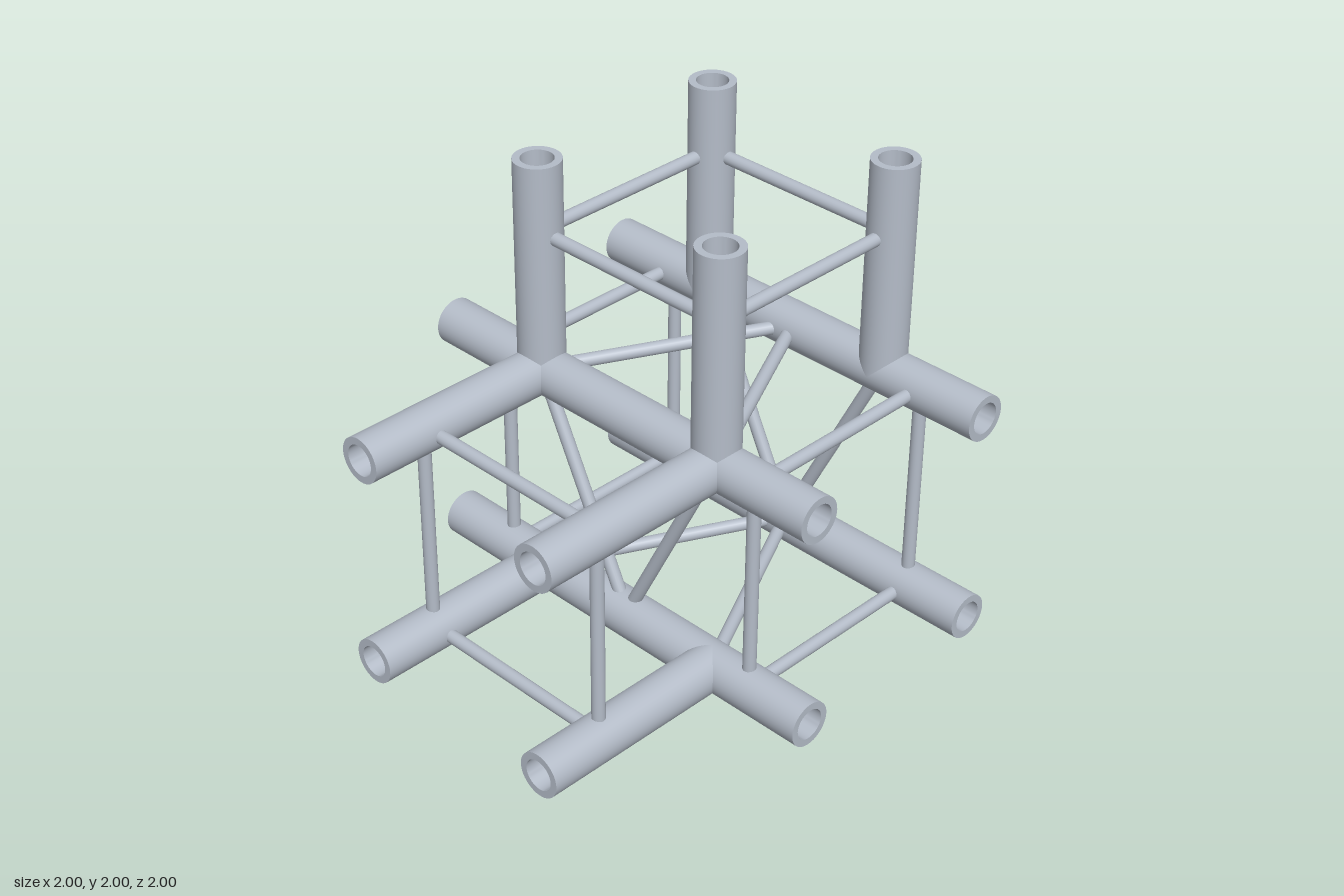
import * as THREE from 'three';
import { toCreasedNormals } from 'three/addons/utils/BufferGeometryUtils.js';

const R = 0.098, BORE = 0.067, BRACE = 0.028;  // pipe, bore and brace radii
const X = 0.48, XB = 0.68;                     // pipe axes and outer braces in x
const LOW = 0.098, HIGH = 1.063;               // pipe axes in y
const FRONT = 0.059, BACK = -0.902;            // pipe axes in z
const UP = new THREE.Vector3(0, 1, 0);

export function createModel() {
  const model = new THREE.Group();
  model.name = 'trussCorner';
  const aluminium = new THREE.MeshStandardMaterial({ color: 0xb4bcc8 });
  aluminium.name = 'aluminium';

  // Places a y-aligned, centred geometry between two points
  function place(name, geometry, a, b) {
    const mesh = new THREE.Mesh(geometry, aluminium);
    mesh.name = name;
    mesh.position.copy(a).add(b).multiplyScalar(0.5);
    mesh.quaternion.setFromUnitVectors(UP, b.clone().sub(a).normalize());
    model.add(mesh);
  }

  // Hollow pipe with ring-shaped ends
  function pipe(name, from, to) {
    const a = new THREE.Vector3(...from), b = new THREE.Vector3(...to);
    const h = a.distanceTo(b) / 2;
    const profile = [[BORE, -h], [R, -h], [R, h], [BORE, h], [BORE, -h]]
      .map(([x, y]) => new THREE.Vector2(x, y));
    place(name, toCreasedNormals(new THREE.LatheGeometry(profile, 40), 0.6), a, b);
  }

  // Solid thin rod
  function brace(name, from, to) {
    const a = new THREE.Vector3(...from), b = new THREE.Vector3(...to);
    place(name, new THREE.CylinderGeometry(BRACE, BRACE, a.distanceTo(b), 20), a, b);
  }

  // Main pipes running across, with the rungs that join the upright pipes
  for (const z of [FRONT, BACK]) {
    for (const y of [LOW, HIGH]) pipe('crossPipe', [-1, y, z], [1, y, z]);
    brace('upperCrossRung', [-X, 1.685, z], [X, 1.685, z]);
  }

  // Forward pipes' cross rungs
  for (const y of [LOW, HIGH]) brace('forwardRung', [-X, y, 0.675], [X, y, 0.675]);

  for (const s of [-1, 1]) {
    // Forward pipes and the level braces and diagonals of each deck
    for (const y of [LOW, HIGH]) {
      pipe('forwardPipe', [s * X, y, FRONT], [s * X, y, 1]);
      brace('sideRung', [s * XB, y, BACK], [s * XB, y, FRONT]);
      brace('deckDiagonal', [0, y, BACK], [s * X, y, FRONT]);
    }
    // Upright pipes, outer posts and diagonals of the front and back faces
    for (const z of [FRONT, BACK]) {
      pipe('uprightPipe', [s * X, HIGH, z], [s * X, 2, z]);
      brace('sidePost', [s * XB, LOW, z], [s * XB, HIGH, z]);
      brace('faceDiagonal', [0, LOW, z], [s * X, HIGH, z]);
    }
    brace('forwardPost', [s * X, LOW, 0.685], [s * X, HIGH, 0.685]);
    brace('upperSideRung', [s * X, 1.685, BACK], [s * X, 1.685, FRONT]);
  }
  return model;
}
